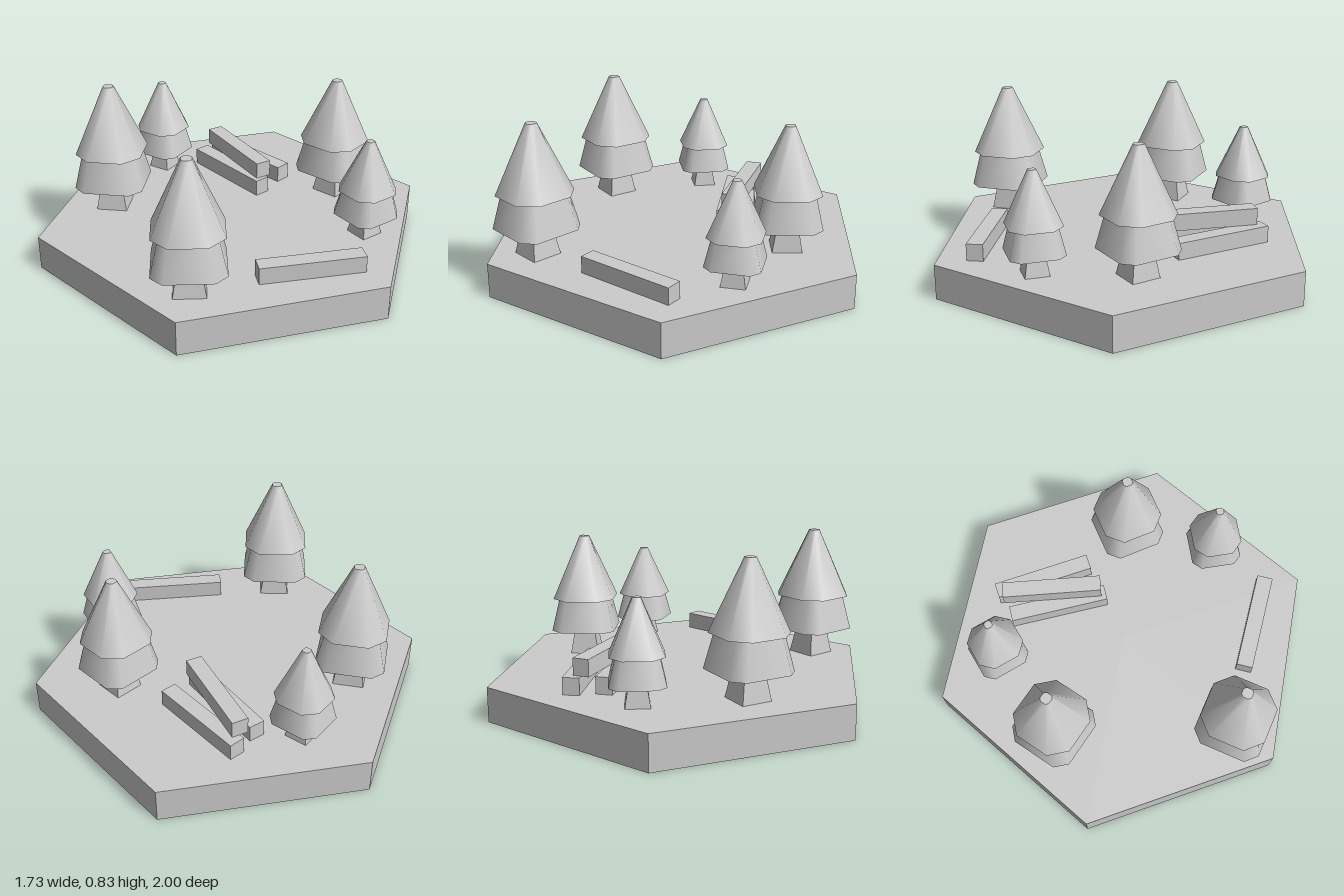
import * as THREE from 'three';

const rad = THREE.MathUtils.degToRad;
const smooth = new THREE.MeshStandardMaterial({ color: 0xcccccc });
const flat = new THREE.MeshStandardMaterial({ color: 0xcccccc, flatShading: true });
const GROUND = 0.175;

function add(parent, name, geometry, material, x = 0, y = 0, z = 0) {
  const mesh = new THREE.Mesh(geometry, material);
  mesh.name = name;
  mesh.position.set(x, y, z);
  parent.add(mesh);
  return mesh;
}

// Tapered tier with a chamfered square plan: an octagon whose vertices
// are drawn in pairs to within `spread` degrees of the four corners.
function tierGeometry(rTop, rBottom, height, spread) {
  const g = new THREE.CylinderGeometry(rTop, rBottom, height, 8, 1, false, rad(22.5));
  const p = g.attributes.position;
  for (let i = 0; i < p.count; i++) {
    const r = Math.hypot(p.getX(i), p.getZ(i));
    if (r < 1e-6) continue;
    const a = Math.atan2(p.getX(i), p.getZ(i));
    const corner = Math.round(a / (Math.PI / 2)) * Math.PI / 2;
    const b = corner + Math.sign(a - corner) * rad(spread);
    p.setXYZ(i, r * Math.sin(b), p.getY(i), r * Math.cos(b));
  }
  return g;
}

function createTree(x, z, scale, turn) {
  const tree = new THREE.Group();
  tree.name = 'tree';
  add(tree, 'trunk', new THREE.CylinderGeometry(0.077, 0.11, 0.14, 4), flat, 0, 0.07, 0);
  add(tree, 'lowerFoliage', tierGeometry(0.16, 0.208, 0.175, 11), smooth, 0, 0.2275, 0);
  add(tree, 'upperFoliage', tierGeometry(0.028, 0.188, 0.345, 17), smooth, 0, 0.4875, 0);
  tree.position.set(x, GROUND, z);
  tree.rotation.y = rad(-turn);
  tree.scale.setScalar(scale);
  return tree;
}

export function createModel() {
  const model = new THREE.Group();
  model.name = 'forestTile';

  // Hexagonal ground slab
  add(model, 'ground', new THREE.CylinderGeometry(1, 1, GROUND, 6), flat, 0, GROUND / 2, 0);

  // Trees: x, z, scale, turn in degrees
  for (const t of [
    [-0.375, -0.5, 1, 8],
    [-0.65, 0.36, 1, -2],
    [0.55, 0.21, 0.947, 41],
    [0.11, -0.65, 0.753, 33],
    [0.305, 0.615, 0.757, 55],
  ]) model.add(createTree(...t));

  // Square logs: x, z, layer, turn in degrees
  for (const [x, z, layer, turn] of [
    [-0.17, 0.67, 0, 56],
    [0.267, -0.275, 0, -5.3],
    [0.44, -0.305, 0, 0],
    [0.333, -0.285, 1, -14.7],
  ]) {
    const log = add(model, 'log', new THREE.BoxGeometry(0.082, 0.085, 0.513), flat,
      x, GROUND + 0.085 * (layer + 0.5), z);
    log.rotation.y = rad(turn);
  }
  return model;
}
